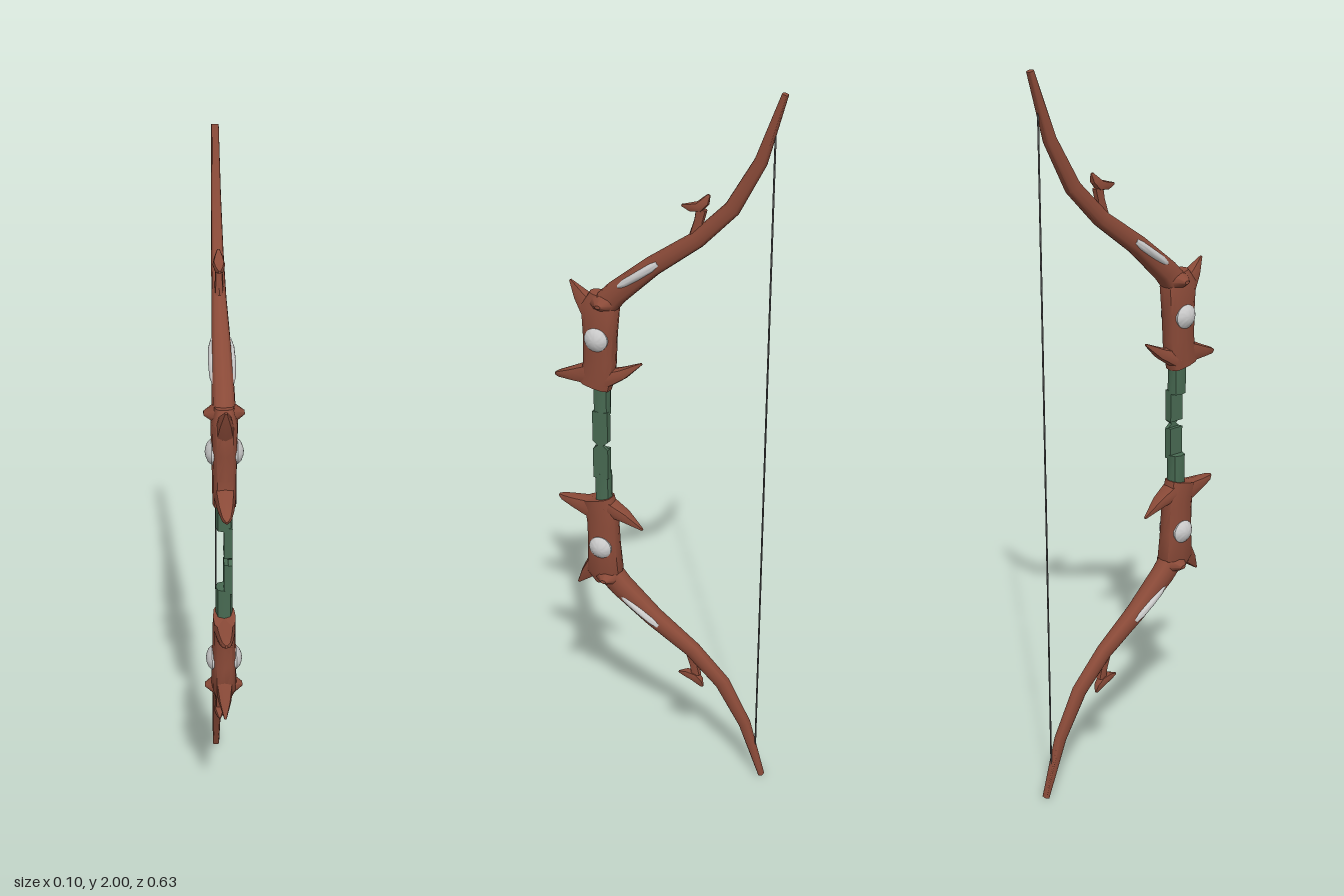
import * as THREE from 'three';
import { toCreasedNormals } from 'three/addons/utils/BufferGeometryUtils.js';

const mat = (color) => new THREE.MeshStandardMaterial({ color });
const wood = mat(0x8a4a38);
const green = mat(0x486a52);
const grey = mat(0xcccccc);
const dark = mat(0x555555);

// Rounded-box tube through sections [z, y, half width in x, half thickness in the side plane]
function loft(sections, sides = 12, power = 0.7) {
  const pos = [], idx = [], n = sections.length;
  const bend = (v) => Math.sign(v) * Math.pow(Math.abs(v), power);
  sections.forEach(([z, y, w, h], i) => {
    const a = sections[Math.max(i - 1, 0)], b = sections[Math.min(i + 1, n - 1)];
    const len = Math.hypot(b[0] - a[0], b[1] - a[1]);
    const tz = (b[0] - a[0]) / len, ty = (b[1] - a[1]) / len;
    for (let j = 0; j < sides; j++) {
      const t = (j / sides) * Math.PI * 2;
      const s = bend(Math.sin(t)) * h;
      pos.push(bend(Math.cos(t)) * w, y + tz * s, z - ty * s);
    }
  });
  for (let i = 0; i < n - 1; i++) {
    for (let j = 0; j < sides; j++) {
      const k = (j + 1) % sides, p = i * sides, q = p + sides;
      idx.push(p + j, p + k, q + k, p + j, q + k, q + j);
    }
  }
  const last = (n - 1) * sides;
  for (let j = 1; j < sides - 1; j++) {
    idx.push(0, j + 1, j, last, last + j, last + j + 1);
  }
  const g = new THREE.BufferGeometry();
  g.setAttribute('position', new THREE.Float32BufferAttribute(pos, 3));
  g.setIndex(idx);
  return toCreasedNormals(g, 0.75);
}

// Side outline of [z, y] points, given thickness between two x values
function plate(points, x0, x1) {
  const shape = new THREE.Shape(points.map(([z, y]) => new THREE.Vector2(z, y)));
  const g = new THREE.ExtrudeGeometry(shape, { depth: x1 - x0, bevelEnabled: false });
  return g.rotateY(-Math.PI / 2).translate(x1, 0, 0);
}

function add(group, name, geometry, material) {
  const mesh = new THREE.Mesh(geometry, material);
  mesh.name = name;
  group.add(mesh);
  return mesh;
}

// Upper half, with the bow's middle at the origin
function makeHalf(name) {
  const half = new THREE.Group();
  half.name = name;
  const part = (n, geo, m = wood) => add(half, n, geo.translate(0, -1, 0), m);

  part('limb', loft([
    [0.18, 1.39, 0.03, 0.036], [0.13, 1.445, 0.029, 0.032], [0.03, 1.53, 0.025, 0.026],
    [-0.09, 1.615, 0.019, 0.022], [-0.18, 1.705, 0.016, 0.021], [-0.25, 1.83, 0.013, 0.017],
    [-0.305, 1.997, 0.01, 0.008],
  ]));
  part('riser', loft([
    [0.195, 1.172, 0.03, 0.045], [0.185, 1.215, 0.031, 0.046], [0.182, 1.25, 0.031, 0.045],
    [0.18, 1.32, 0.033, 0.046], [0.178, 1.4, 0.034, 0.052], [0.172, 1.435, 0.024, 0.034],
  ]));

  // Pointed horns
  part('topHorn', loft([
    [0.2, 1.385, 0.026, 0.034], [0.235, 1.425, 0.017, 0.019], [0.263, 1.462, 0.003, 0.003],
  ], 8));
  part('frontSpike', loft([
    [0.19, 1.207, 0.03, 0.035], [0.225, 1.203, 0.027, 0.029],
    [0.27, 1.195, 0.021, 0.017], [0.303, 1.189, 0.013, 0.009], [0.315, 1.186, 0.003, 0.004],
  ], 8));
  part('rearSpike', loft([
    [0.17, 1.193, 0.029, 0.026], [0.115, 1.218, 0.02, 0.016], [0.063, 1.252, 0.003, 0.003],
  ], 8));

  // Faceted nubs on both sides of the riser top
  const nub = new THREE.CylinderGeometry(0.008, 0.034, 0.026, 8);
  for (const s of [-1, 1]) {
    const g = nub.clone().rotateZ(-s * Math.PI / 2).scale(1, 0.65, 1);
    part('sideNub', g.translate(s * 0.038, 1.415, 0.165));
  }

  // Hooked fin on the outside of the limb
  part('finStem', loft([
    [-0.088, 1.625, 0.012, 0.02], [-0.094, 1.665, 0.01, 0.013], [-0.1, 1.695, 0.01, 0.015],
  ], 8));
  part('finCap', loft([
    [-0.047, 1.699, 0.003, 0.003], [-0.07, 1.697, 0.012, 0.011], [-0.095, 1.701, 0.016, 0.014],
    [-0.11, 1.716, 0.011, 0.012], [-0.119, 1.733, 0.003, 0.004],
  ], 8));

  // Pale inlays
  part('limbInlay', loft([
    [0.118, 1.468, 0.027, 0.012], [0.1, 1.481, 0.033, 0.014], [0.065, 1.505, 0.035, 0.014],
    [0.03, 1.53, 0.033, 0.014], [0.01, 1.545, 0.026, 0.012],
  ], 16, 0.85), grey);
  const dome = [[0, -0.049], [0.012, -0.047], [0.024, -0.042], [0.033, -0.033],
    [0.033, 0.033], [0.024, 0.042], [0.012, 0.047], [0, 0.049]];
  const button = new THREE.LatheGeometry(dome.map(([r, y]) => new THREE.Vector2(r, y)), 24);
  part('roundButton', toCreasedNormals(button.rotateZ(Math.PI / 2).translate(0, 1.315, 0.18), 0.7), grey);
  return half;
}

export function createModel() {
  const bow = new THREE.Group();
  bow.name = 'bow';

  const upper = makeHalf('upperHalf');
  const lower = makeHalf('lowerHalf');
  lower.rotation.z = Math.PI;
  upper.position.y = lower.position.y = 1;
  bow.add(upper, lower);

  // Grip: full ends, and a half-width middle cut by an arrow notch
  const grip = new THREE.Group();
  grip.name = 'grip';
  bow.add(grip);
  const ends = [[0.825, 0.912], [1.092, 1.18]];
  for (const [y0, y1] of ends) {
    add(grip, 'gripEnd', loft([[0.178, y0, 0.022, 0.024], [0.178, y1, 0.022, 0.024]], 8, 0.8), green);
  }
  add(grip, 'gripCore', plate([
    [0.156, 0.9], [0.2, 0.9], [0.2, 0.988], [0.186, 1], [0.2, 1.012], [0.2, 1.1],
    [0.156, 1.1], [0.156, 1.012], [0.17, 1], [0.156, 0.988],
  ], 0.01, 0.021), green);
  for (const [y0, y1] of [[0.9, 0.99], [1.01, 1.1]]) {
    add(grip, 'gripShelf', plate([[0.156, y0], [0.2, y0], [0.2, y1], [0.156, y1]], -0.001, 0.01), green);
  }

  const string = new THREE.CylinderGeometry(0.0025, 0.0025, 1.87, 6);
  add(bow, 'bowstring', string.translate(0, 1, -0.284), dark);
  return bow;
}
